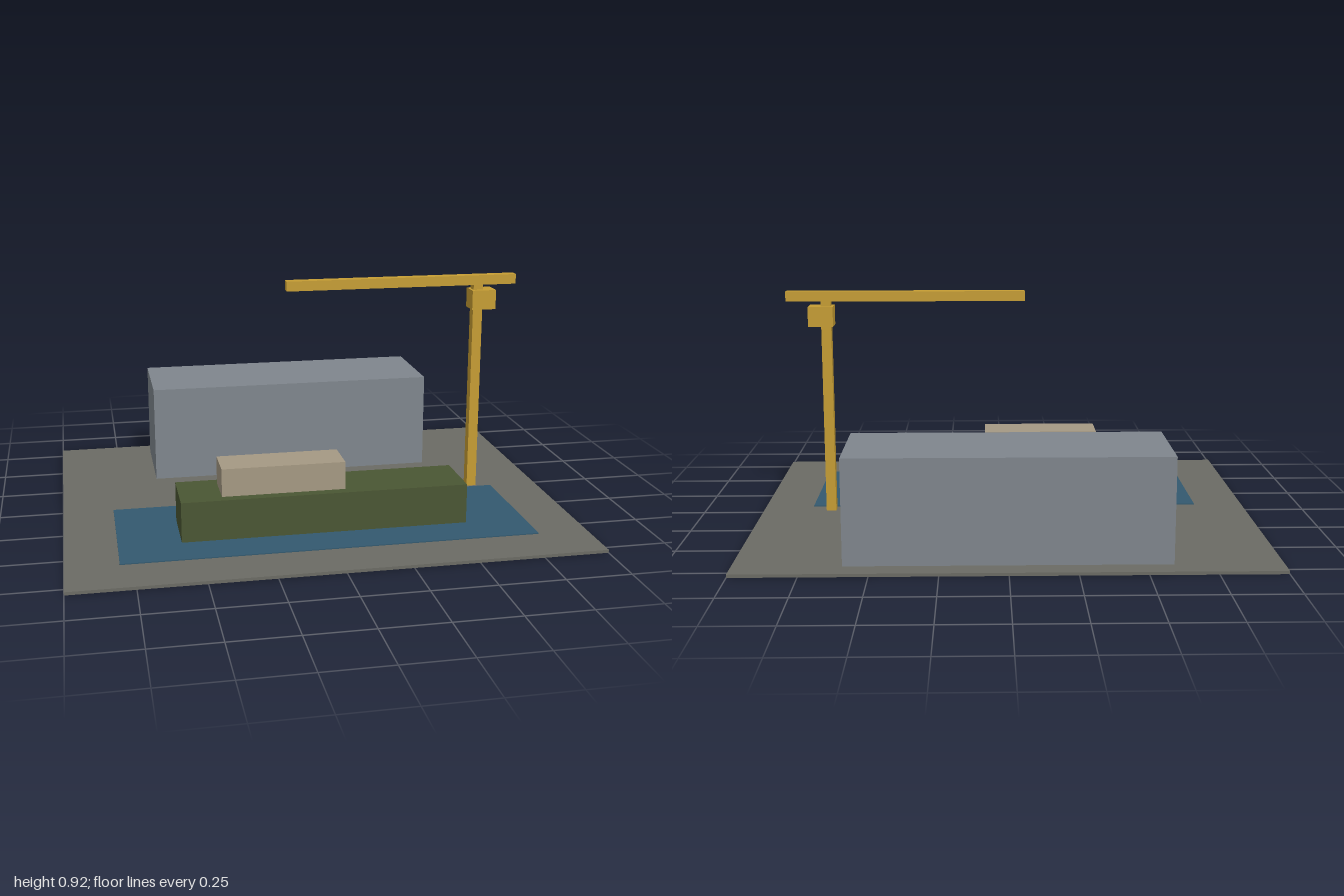
import * as THREE from 'three';

const material = (name, color) => {
  const m = new THREE.MeshStandardMaterial({ color });
  m.name = name;
  return m;
};

export function createModel() {
  const model = new THREE.Group();
  model.name = 'harbourDock';

  const concrete = material('concrete grey', 0x6b6b64);
  const waterBlue = material('water blue', 0x33596f);
  const wallGrey = material('wall grey', 0x7f868d);
  const hullGreen = material('hull green', 0x4a5633);
  const cabinBeige = material('cabin beige', 0xa59983);
  const craneYellow = material('crane yellow', 0xc69d33);

  // Box given by its extents along each axis
  const block = (parent, name, mat, [x0, x1], [y0, y1], [z0, z1]) => {
    const mesh = new THREE.Mesh(new THREE.BoxGeometry(x1 - x0, y1 - y0, z1 - z0), mat);
    mesh.position.set((x0 + x1) / 2, (y0 + y1) / 2, (z0 + z1) / 2);
    mesh.name = name;
    parent.add(mesh);
  };
  const group = (name) => {
    const g = new THREE.Group();
    g.name = name;
    model.add(g);
    return g;
  };

  // Quay slab, basin and warehouse
  block(model, 'quaySlab', concrete, [-1, 1], [0, 0.012], [-0.8, 0.8]);
  block(model, 'waterBasin', waterBlue, [-0.8, 0.8], [0.008, 0.016], [0.04, 0.6]);
  block(model, 'warehouse', wallGrey, [-0.6, 0.6], [0.012, 0.412], [-0.72, -0.32]);

  // Moored ship
  const ship = group('ship');
  block(ship, 'hull', hullGreen, [-0.56, 0.56], [0.014, 0.174], [0.2, 0.44]);
  block(ship, 'superstructure', cabinBeige, [-0.4, 0.08], [0.174, 0.284], [0.24, 0.4]);

  // Tower crane
  const crane = group('crane');
  block(crane, 'mast', craneYellow, [0.7, 0.74], [0.012, 0.89], [-0.02, 0.02]);
  block(crane, 'operatorCab', craneYellow, [0.69, 0.79], [0.784, 0.864], [-0.04, 0.04]);
  block(crane, 'jib', craneYellow, [-0.08, 0.88], [0.884, 0.924], [-0.02, 0.02]);

  return model;
}
